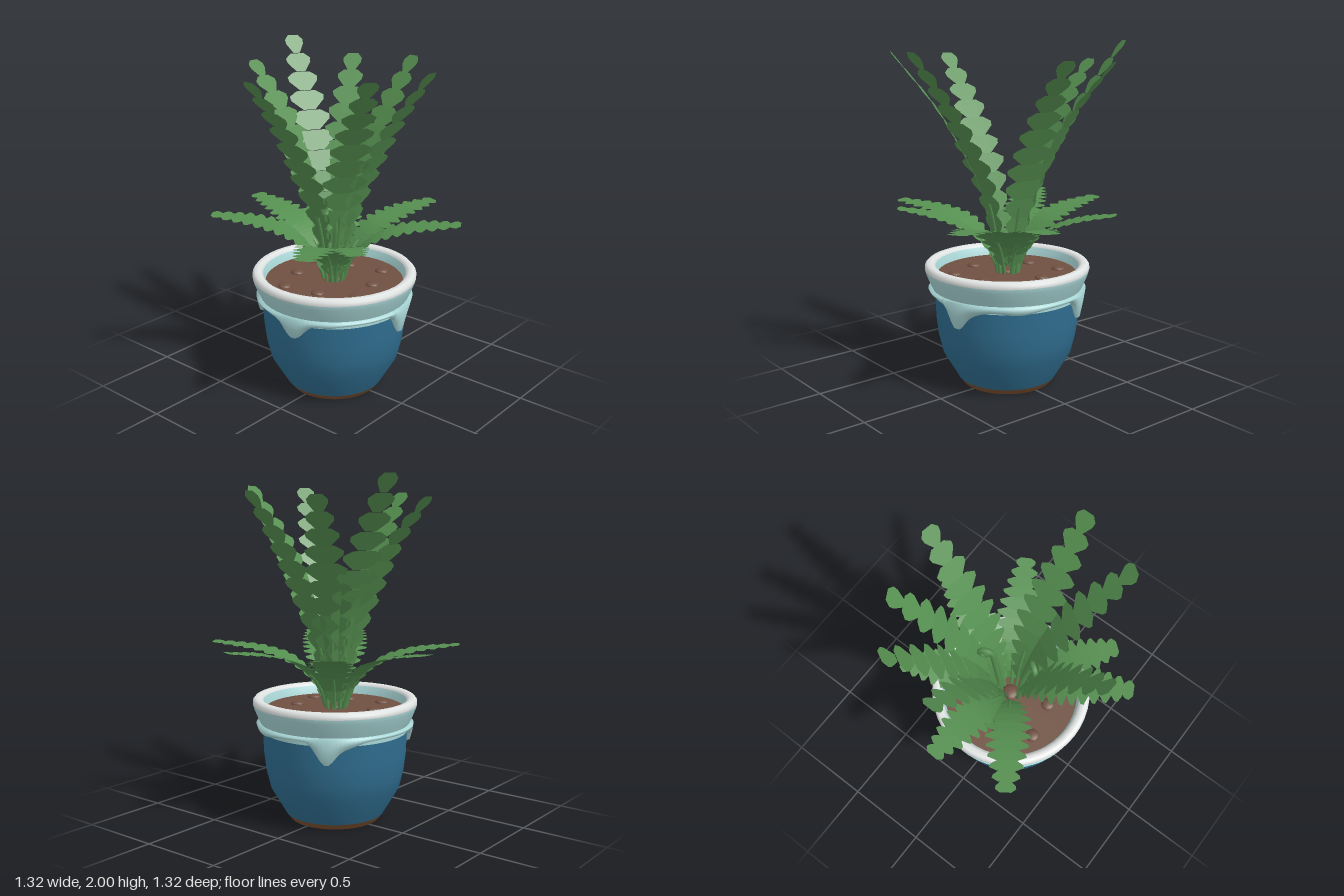
import * as THREE from 'three';

const mat = (name, color, side = THREE.FrontSide) => {
  const m = new THREE.MeshStandardMaterial({ color, side });
  m.name = name;
  return m;
};

export function createModel() {
  const blue = mat('blue glaze', 0x2f6d8f);
  const aqua = mat('aqua glaze', 0xa9d6d6, THREE.DoubleSide);
  const white = mat('white rim', 0xe0e4e2);
  const clay = mat('bare clay', 0x7a5030);
  const earth = mat('soil', 0x6f5041);
  const green = mat('leaf green', 0x558f50, THREE.DoubleSide);

  const model = new THREE.Group();
  model.name = 'pottedFern';
  const add = (name, geo, material, parent = model) => {
    const mesh = new THREE.Mesh(geo, material);
    mesh.name = name;
    parent.add(mesh);
    return mesh;
  };
  const latheGeo = pts => new THREE.LatheGeometry(pts.map(p => new THREE.Vector2(...p)), 48);
  const lathe = (name, pts, material, parent) => add(name, latheGeo(pts), material, parent);

  // Pot
  const pot = new THREE.Group();
  pot.name = 'pot';
  pot.position.x = -0.016;
  model.add(pot);
  lathe('potFoot', [[0, 0], [0.265, 0], [0.268, 0.004], [0.292, 0.035]], clay, pot);
  lathe('potBody', [[0.292, 0.035], [0.382, 0.19], [0.408, 0.3], [0.42, 0.4], [0.425, 0.53]], blue, pot);
  lathe('glazeBand', [[0.426, 0.53], [0.427, 0.58]], aqua, pot);

  // Rim: one smooth profile, cut into colour bands that share its normals
  const rimPts = [[0.436, 0.572], [0.458, 0.62], [0.476, 0.665], [0.483, 0.69], [0.482, 0.71],
    [0.468, 0.726], [0.44, 0.726], [0.42, 0.71], [0.403, 0.645]];
  const rim = latheGeo(rimPts);
  const rimIndex = Array.from(rim.index.array);
  for (const [name, from, to, material] of [['rimLower', 0, 3, aqua], ['rimUpper', 3, 7, white],
    ['rimInside', 7, 8, aqua]]) {
    const band = rim.clone();
    band.setIndex(rimIndex.filter((_, i) => {
      const step = Math.floor(i / 6) % (rimPts.length - 1);
      return step >= from && step < to;
    }));
    add(name, band, material, pot);
  }

  // Glaze collar with a running lower edge
  const drips = [[10, 0.12, 9], [22, 0.04, 14], [121, 0.12, 9], [135, 0.04, 14],
    [-140, 0.1, 10], [-82, 0.11, 11], [-55, 0.02, 12], [60, 0.03, 20]];
  const edgeY = deg => drips.reduce((y, [at, depth, wide]) => {
    const d = ((deg - at + 540) % 360) - 180;
    return y - depth * Math.exp(-((d / wide) ** 2));
  }, 0.553);
  const N = 120, pos = [], idx = [];
  for (let i = 0; i <= N; i++) {
    const deg = i * 360 / N, a = deg * Math.PI / 180, e = edgeY(deg);
    const rows = [[0.43, 0.582], [0.463, 0.575], [0.455, 0.2775 + e * 0.5 + 0.006],
      [0.443, e + 0.008], [0.422, e]];
    rows.forEach(([r, y]) => pos.push(r * Math.sin(a), y, r * Math.cos(a)));
    if (i < N) for (let k = 0; k < 4; k++) {
      const p = i * 5 + k;
      idx.push(p, p + 1, p + 5, p + 1, p + 6, p + 5);
    }
  }
  const collar = new THREE.BufferGeometry();
  collar.setAttribute('position', new THREE.Float32BufferAttribute(pos, 3));
  collar.setIndex(idx);
  collar.computeVertexNormals();
  add('glazeDrips', collar, aqua, pot);

  // Soil with clods
  add('soil', new THREE.CircleGeometry(0.408, 48).rotateX(-Math.PI / 2), earth, pot).position.y = 0.66;
  const clod = (x, z, r) => {
    const m = add('soilClod', new THREE.SphereGeometry(r, 12, 8), earth, pot);
    m.position.set(x, 0.66, z);
    m.scale.y = 0.45;
  };
  for (let i = 0; i < 8; i++) {
    const a = i * Math.PI / 4 + 0.3, r = i % 2 ? 0.31 : 0.24;
    clod(r * Math.sin(a), r * Math.cos(a), 0.042);
  }
  clod(0, -0.006, 0.052);

  // Fronds: flat leaflets set along a curve that leans outward
  const plant = new THREE.Group();
  plant.name = 'fern';
  plant.position.set(-0.014, 0, -0.006);
  model.add(plant);

  const outline = [[-0.35, -0.5], [0.35, -0.5], [0.95, 0], [1, 0.24], [0.55, 0.5],
    [-0.55, 0.5], [-1, 0.24], [-0.95, 0]];
  function frond(name, x, z, profile, count, length, width) {
    const R = Math.hypot(x, z), out = new THREE.Vector3(x / R, 0, z / R);
    const across = new THREE.Vector3(out.z, 0, -out.x);
    const curve = new THREE.CatmullRomCurve3(
      profile.map(([r, y]) => out.clone().multiplyScalar(r).setY(y)));
    const p = [], tri = [];
    for (let i = 1; i < count; i++) {
      const u = (i + 0.5) / count, c = curve.getPointAt(u), t = curve.getTangentAt(u);
      const taper = 1 - 0.55 * (Math.max(0, u - 0.4) / 0.55) ** 2;
      const w = width * taper * Math.min(1, 0.2 + 1.8 * u);
      const o = p.length / 3;
      for (const [a, l] of outline) {
        const v = c.clone().addScaledVector(across, a * w).addScaledVector(t, l * length);
        p.push(v.x, v.y, v.z);
      }
      for (let k = 1; k < outline.length - 1; k++) tri.push(o, o + k, o + k + 1);
    }
    const geo = new THREE.BufferGeometry();
    geo.setAttribute('position', new THREE.Float32BufferAttribute(p, 3));
    geo.setIndex(tri);
    geo.computeVertexNormals();
    const g = new THREE.Group();
    g.name = name;
    plant.add(g);
    add('leaflets', geo, green, g);
    const stalk = new THREE.CatmullRomCurve3([0, 0.1, 0.2, 0.3].map(u => curve.getPointAt(u)));
    add('stalk', new THREE.TubeGeometry(stalk, 8, 0.011, 6), green, g);
  }

  // Upright fronds: tip x, tip z, tip height
  for (const [x, z, y] of [[0.32, -0.6, 2.0], [0.61, 0.1, 1.91], [-0.63, -0.03, 1.91],
    [0.54, -0.3, 1.89], [0, 0.65, 1.95], [0.01, -0.63, 1.88], [-0.37, 0.54, 1.94]])
    frond('uprightFrond', x, z, [[0.06, 0.66], [0.1, 0.95], [0.185, 1.22], [0.285, 1.42], [0.41, 1.63],
      [Math.hypot(x, z), y]], 12, 0.122, 0.13);

  // Low spreading fronds: tip x, tip z
  for (const [x, z] of [[-0.63, 0.33], [-0.4, 0.49], [0.36, 0.63], [0.65, 0.24],
    [0.53, -0.34], [0.04, -0.66], [-0.41, -0.58]])
    frond('lowFrond', x, z, [[0.06, 0.66], [0.11, 0.8], [0.24, 0.93], [0.42, 1.0],
      [Math.hypot(x, z), 1.04]], 13, 0.078, 0.14);

  // Curled young shoots: coil centre x, z, height, then the direction the coil lies in
  for (const [x, z, y, dx, dz] of [[0.13, -0.065, 1.25, 0.9, -0.43], [-0.12, 0.06, 1.12, -0.82, -0.57]]) {
    const pts = [[0.4, 0.66, 0], [0.6, 0.85, -0.02], [0.9, y - 0.12, -0.04]];
    for (let i = 0; i <= 14; i++) {
      const a = Math.PI - i * 0.6, r = 0.042 - i * 0.0024;
      pts.push([1, y + r * Math.sin(a), r * Math.cos(a)]);
    }
    const path = new THREE.CatmullRomCurve3(
      pts.map(([f, h, s]) => new THREE.Vector3(f * x + s * dx, h, f * z + s * dz)));
    add('curledShoot', new THREE.TubeGeometry(path, 60, 0.017, 7), green, plant);
  }
  return model;
}
